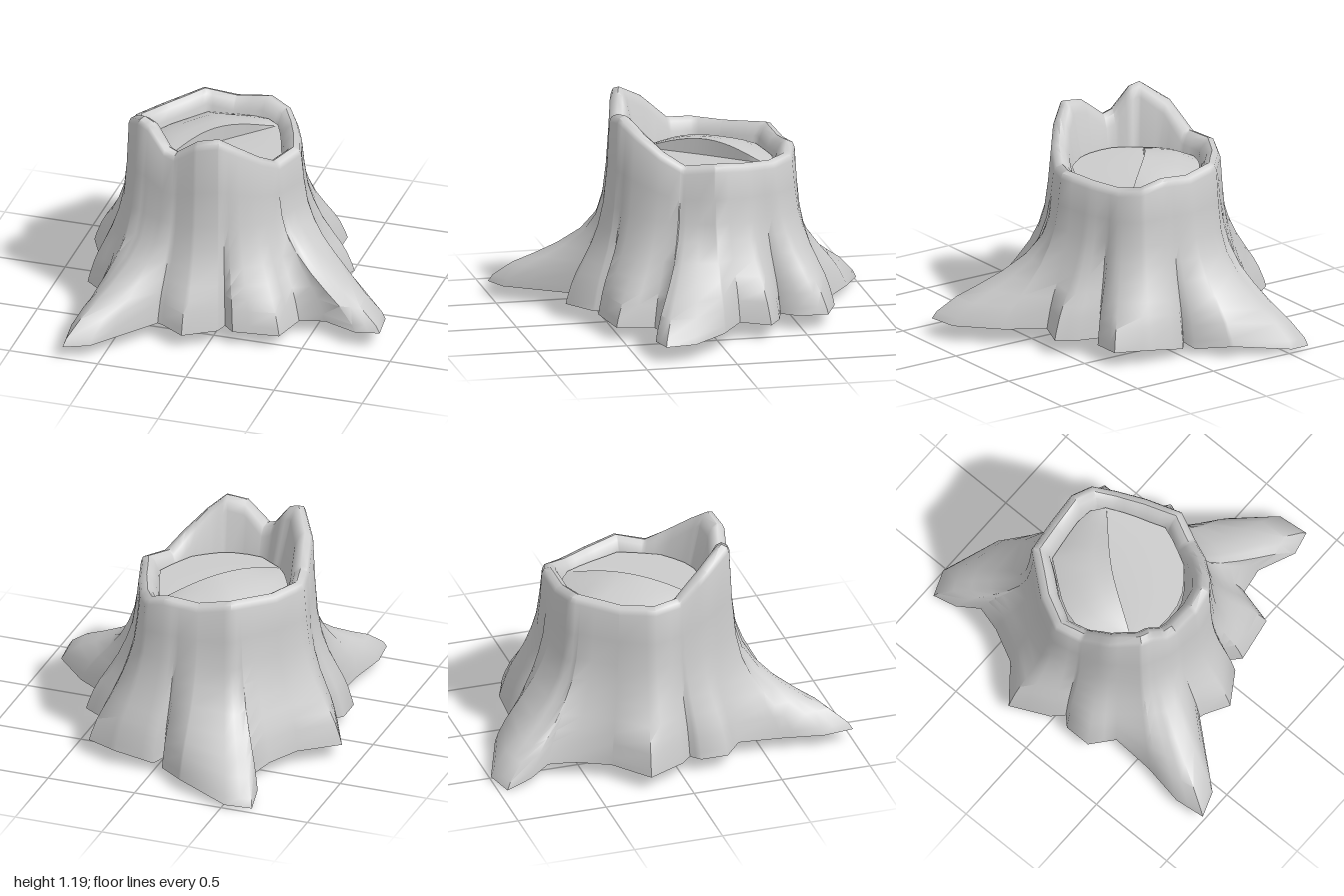
import * as THREE from 'three';
import { toCreasedNormals } from 'three/addons/utils/BufferGeometryUtils.js';

const CX = -0.15, CZ = -0.05; // trunk axis
const TAU = Math.PI * 2;
const lerp = THREE.MathUtils.lerp;
const wrap = (a) => ((a % TAU) + TAU) % TAU;

// Ground outline with long roots and the notches between them: x, z, y
const ground = [
  [-0.66, -0.95, 0], [-0.52, -1, 0.02], [-0.22, -0.88, 0.06], [-0.06, -0.74, 0.04], [-0.04, -0.66, 0.06],
  [0, -0.715, 0.045], [0.22, -0.715, 0.08], [0.4, -0.64, 0.08], [0.4, -0.48, 0.08], [0.33, -0.39, 0.08],
  [0.44, -0.36, 0.08], [0.55, -0.29, 0.08], [0.49, -0.13, 0.09], [0.69, 0, 0.09], [0.88, 0.2, 0.09],
  [0.9, 0.37, 0.09], [0.77, 0.4, 0.09], [0.57, 0.31, 0.08], [0.43, 0.33, 0.07], [0.38, 0.53, 0.07],
  [0.13, 0.575, 0.08], [0.07, 0.52, 0.08], [0.05, 0.59, 0.08], [-0.12, 0.7, 0.08], [-0.25, 0.63, 0.09],
  [-0.28, 0.62, 0.09], [-0.56, 0.95, 0.075], [-0.7, 1, 0.07], [-0.72, 0.83, 0.07], [-0.68, 0.6, 0.07],
  [-0.67, 0.36, 0.08], [-0.79, 0.26, 0.08], [-0.79, 0.11, 0.08], [-0.74, 0.06, 0.08], [-0.8, 0, 0.08],
  [-0.9, -0.21, 0.08], [-0.7, -0.37, 0.08], [-0.61, -0.55, 0.08], [-0.57, -0.69, 0.07], [-0.64, -0.81, 0.04],
];

// Broken rim: x, z, y
const rim = [
  [-0.64, -0.1, 0.96], [-0.55, -0.28, 0.95], [-0.37, -0.5, 0.97], [-0.18, -0.53, 0.94], [0.01, -0.54, 0.96],
  [0.13, -0.5, 0.92], [0.2, -0.39, 0.9], [0.27, -0.23, 0.91], [0.33, -0.03, 0.93], [0.26, 0.13, 0.91],
  [0.2, 0.25, 0.98], [0.1, 0.37, 1.08], [0.01, 0.44, 1.15], [-0.11, 0.46, 1.13], [-0.25, 0.43, 1.03],
  [-0.31, 0.42, 1.05], [-0.41, 0.39, 1.17], [-0.47, 0.37, 1.19], [-0.57, 0.22, 1.11], [-0.61, 0.05, 0.97],
];

// Share of a root's reach left at each height: height, short root, long root
const flareTable = [
  [0, 1, 1], [0.04, 0.96, 0.96], [0.12, 0.86, 0.8], [0.18, 0.76, 0.62], [0.25, 0.61, 0.43],
  [0.34, 0.42, 0.24], [0.44, 0.26, 0.11], [0.54, 0.14, 0.05], [0.68, 0.06, 0.02], [0.84, 0, 0],
];

const angleOf = ([x, z]) => wrap(Math.atan2(z - CZ, x - CX));

// Returns a function giving the outline point [x, z, y] at any angle
function outline(points) {
  const list = points.map((p) => ({ p, a: angleOf(p) })).sort((m, n) => m.a - n.a);
  return (angle) => {
    const a = wrap(angle);
    let i = list.findIndex((e) => e.a > a);
    if (i < 0) i = 0;
    const m = list[(i + list.length - 1) % list.length], n = list[i];
    const t = wrap(a - m.a) / (wrap(n.a - m.a) || 1);
    return m.p.map((v, k) => lerp(v, n.p[k], t));
  };
}

// Skins rows of [x, y, z] points
function loft(rows, closed, crease) {
  const n = rows[0].length, index = [];
  for (let i = 0; i < rows.length - 1; i++) {
    for (let j = 0; j < (closed ? n : n - 1); j++) {
      const k = (j + 1) % n;
      const a = i * n + j, b = i * n + k, c = a + n, d = b + n;
      index.push(a, c, b, b, c, d);
    }
  }
  const geometry = new THREE.BufferGeometry();
  geometry.setAttribute('position', new THREE.Float32BufferAttribute(rows.flat(2), 3));
  geometry.setIndex(index);
  return toCreasedNormals(geometry, crease);
}

const groundAt = outline(ground), rimAt = outline(rim);

// Rim point moved towards the axis
function inset(angle, amount) {
  const [x, z, y] = rimAt(angle);
  const s = 1 - amount / Math.hypot(x - CX, z - CZ);
  return [CX + (x - CX) * s, y, CZ + (z - CZ) * s];
}

// Inner wall point: the wall is thicker below the tall splinters
function innerWall(angle, y) {
  const tall = Math.max(0, rimAt(angle)[2] - 0.96);
  const [x, , z] = inset(angle, 0.11 + 0.28 * tall);
  return [x, y, z];
}

// Bark skin from the roots up, over the rim and down inside
function barkGeometry() {
  const all = [...ground, ...rim].map(angleOf).sort((a, b) => a - b);
  const angles = all.filter((a, i) => i === 0 || a - all[i - 1] > 1e-4);
  const rows = flareTable.map(([height, short, long]) => angles.map((a) => {
    const [bx, bz, by] = groundAt(a), [rx, rz, ry] = rimAt(a);
    const reach = Math.hypot(bx - rx, bz - rz);
    const flare = lerp(short, long, THREE.MathUtils.clamp((reach - 0.25) / 0.3, 0, 1));
    const y = lerp(by, ry - 0.04, height / 0.84);
    const straight = lerp(by, 0.9, height / 0.84);
    return [lerp(rx, bx, flare), lerp(y, straight, Math.min(1, 2 * (1 - height / 0.84))), lerp(rz, bz, flare)];
  }));
  for (const [amount, drop] of [[0.012, 0.012], [0.045, 0], [0.075, 0.02], [0.1, 0.07]]) {
    rows.push(angles.map((a) => {
      const [x, y, z] = inset(a, amount);
      return [x, y - drop, z];
    }));
  }
  rows.push(angles.map((a) => innerWall(a, 0.8)));
  return loft(rows, true, 0.9);
}

// Half of the split heartwood between the crack and the inner wall
const crack = new THREE.CatmullRomCurve3([
  new THREE.Vector3(0.08, 0, -0.35), new THREE.Vector3(-0.18, 0, -0.09), new THREE.Vector3(-0.38, 0, 0.21),
]);

function heartwoodGeometry(from, to, reversed, edgeY, midY, crackY) {
  const rows = [[], [], [], [], []];
  const steps = 14;
  for (let i = 0; i <= steps; i++) {
    const t = i / steps;
    const [ax, , az] = innerWall(lerp(from, to, t), edgeY);
    const c = crack.getPoint(reversed ? 1 - t : t);
    const bulge = Math.sin(Math.PI * t);
    rows[0].push([ax, edgeY, az]);
    rows[1].push([lerp(ax, c.x, 0.35), lerp(edgeY, midY, 0.7 * bulge), lerp(az, c.z, 0.35)]);
    rows[2].push([lerp(ax, c.x, 0.7), lerp(edgeY, midY, bulge), lerp(az, c.z, 0.7)]);
    rows[3].push([c.x, lerp(edgeY, crackY, bulge), c.z]);
    rows[4].push([c.x, 0.8, c.z]);
  }
  return loft(rows, false, 0.7);
}

export function createModel() {
  const group = new THREE.Group();
  group.name = 'treeStump';
  const material = new THREE.MeshStandardMaterial({ color: 0xcccccc, side: THREE.DoubleSide });
  const add = (name, geometry) => {
    const mesh = new THREE.Mesh(geometry, material);
    mesh.name = name;
    group.add(mesh);
  };
  const start = Math.atan2(-0.35 - CZ, 0.08 - CX), end = Math.atan2(0.21 - CZ, -0.38 - CX);
  add('barkAndRoots', barkGeometry());
  add('lowerHeartwood', heartwoodGeometry(start, end, false, 0.86, 0.86, 0.85));
  add('raisedHeartwood', heartwoodGeometry(end, start + TAU, true, 0.86, 0.93, 0.94));
  return group;
}
